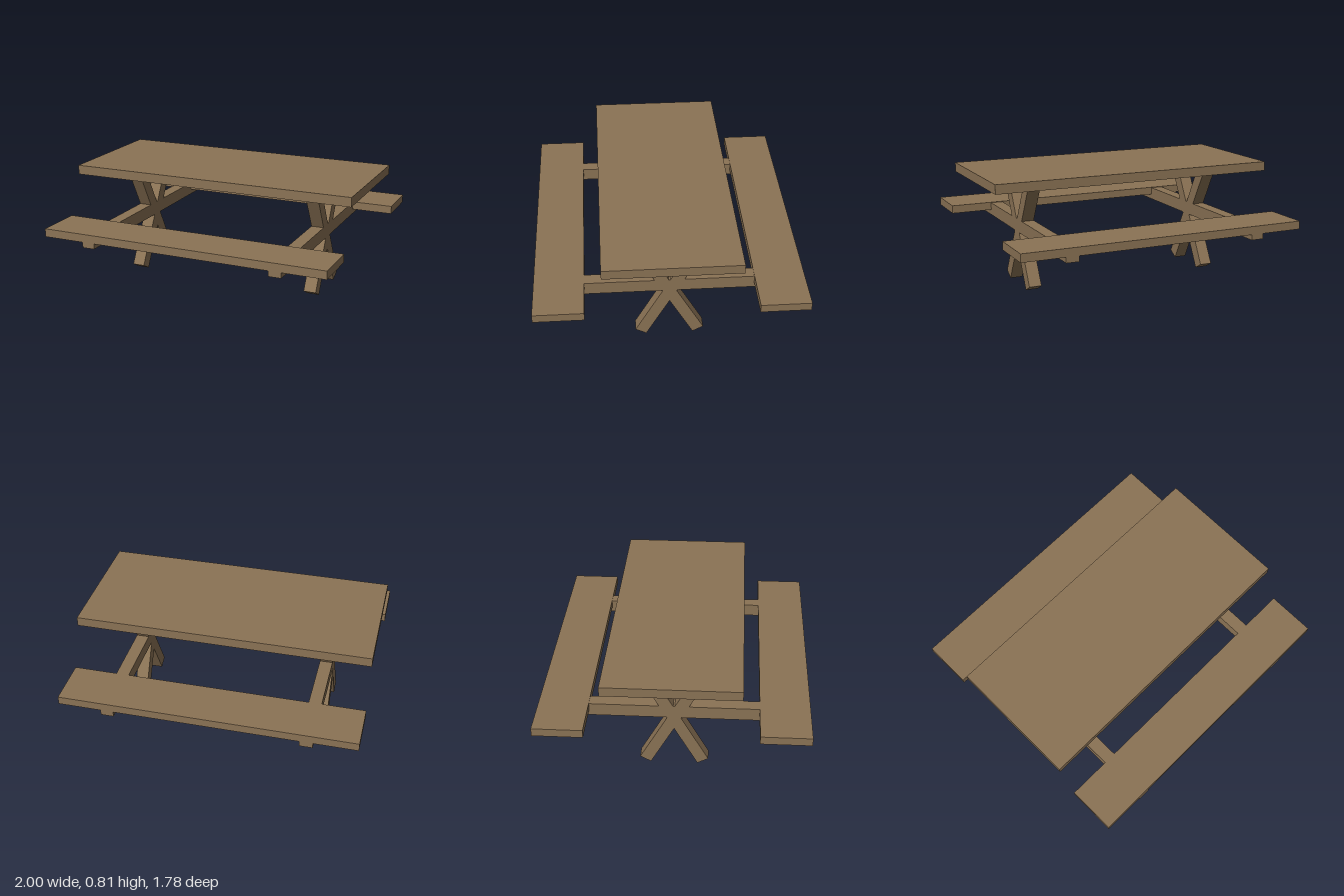
import * as THREE from 'three';

export function createModel() {
  const model = new THREE.Group();
  model.name = 'picnicTable';

  const wood = new THREE.MeshStandardMaterial({ color: 0x8b7355 });
  wood.name = 'brown wood';

  // One straight timber, centred at (x, y, z) and optionally tilted about x
  function timber(name, [w, h, d], [x, y, z], tilt = 0, parent = model) {
    const mesh = new THREE.Mesh(new THREE.BoxGeometry(w, h, d), wood);
    mesh.name = name;
    mesh.position.set(x, y, z);
    mesh.rotation.x = tilt;
    parent.add(mesh);
  }

  // Table top
  timber('tableTop', [2, 0.064, 0.89], [0, 0.776, 0]);

  // Bench on each long side
  for (const [name, side] of [['frontBench', 1], ['backBench', -1]]) {
    timber(name, [2, 0.056, 0.33], [0, 0.443, side * 0.725]);
  }

  // Trestle at each end: crossed legs and a beam carrying the benches
  const thickness = 0.087;
  const legTilt = THREE.MathUtils.degToRad(28.8);
  for (const [name, side] of [['leftTrestle', 1], ['rightTrestle', -1]]) {
    const trestle = new THREE.Group();
    trestle.name = name;
    trestle.position.x = side * 0.664;
    model.add(trestle);
    timber('benchBeam', [thickness, 0.089, 1.78], [0, 0.4225, 0], 0, trestle);
    for (const lean of [1, -1]) {
      timber('crossedLeg', [thickness, 0.804, 0.082], [0, 0.372, 0], lean * legTilt, trestle);
    }
  }

  return model;
}
